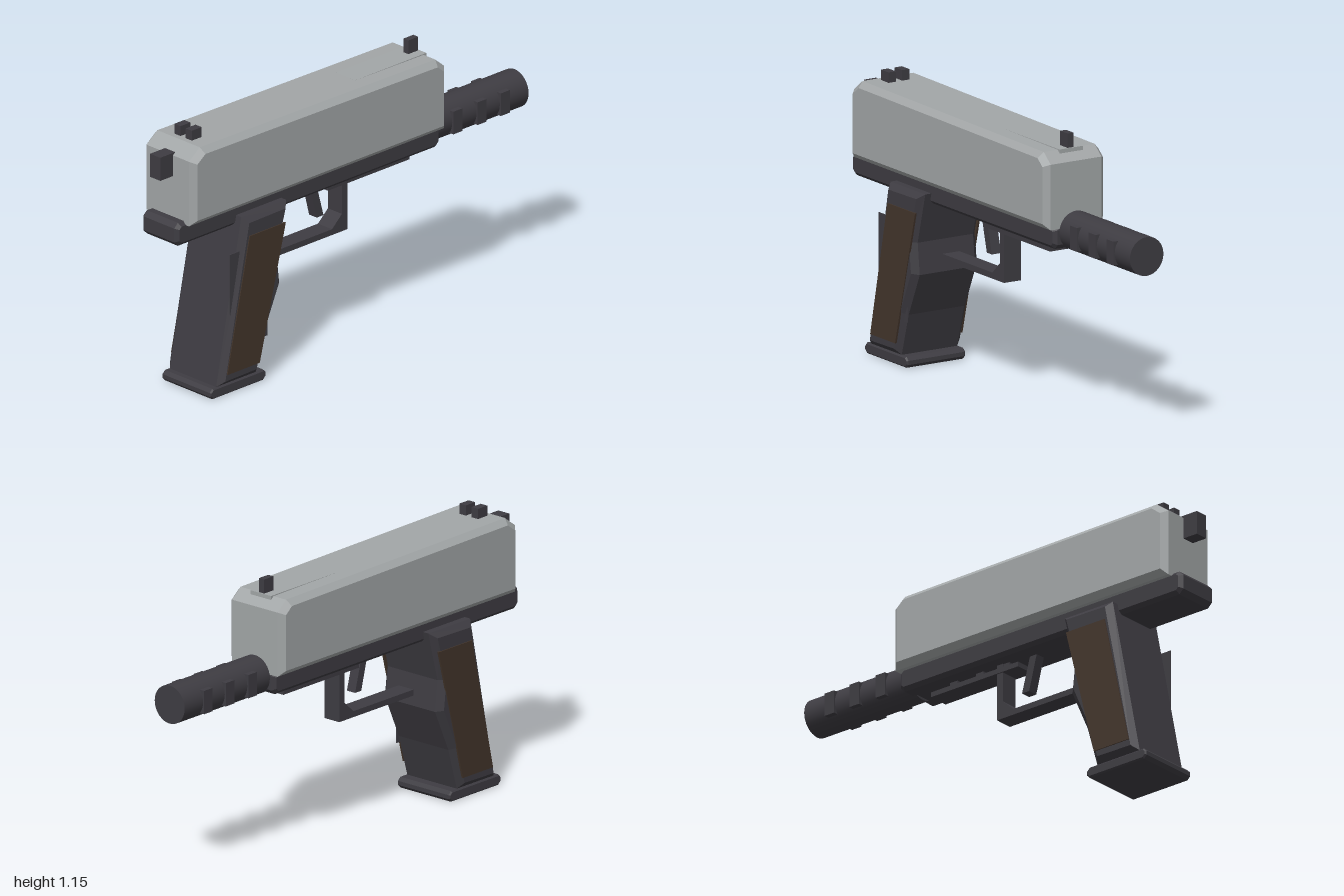
import * as THREE from 'three';

const mat = (name, color) => {
  const m = new THREE.MeshStandardMaterial({ color });
  m.name = name;
  return m;
};

export function createModel() {
  const grey = mat('slideGrey', 0xa2a6a7);
  const dark = mat('darkMetal', 0x3e3c42);
  const brown = mat('gripBrown', 0x43352b);
  const group = new THREE.Group();

  const add = (name, geo, material) => {
    const mesh = new THREE.Mesh(geo, material);
    mesh.name = name;
    group.add(mesh);
    return mesh;
  };

  // Box given by its limits on each axis
  const box = (name, [x0, x1], [y0, y1], [z0, z1], material = dark) => {
    const m = add(name, new THREE.BoxGeometry(x1 - x0, y1 - y0, z1 - z0), material);
    m.position.set((x0 + x1) / 2, (y0 + y1) / 2, (z0 + z1) / 2);
    return m;
  };

  // Side profile of [z, y] points, extruded across x with chamfered edges
  const side = (name, points, halfWidth, bevel, material = dark, x = 0) => {
    const shape = new THREE.Shape(points.map(([z, y]) => new THREE.Vector2(z, y)));
    const geo = new THREE.ExtrudeGeometry(shape, {
      depth: 2 * (halfWidth - bevel),
      bevelEnabled: bevel > 0,
      bevelSize: bevel, bevelThickness: bevel, bevelOffset: -bevel, bevelSegments: 1,
    });
    geo.translate(0, 0, -(halfWidth - bevel));
    geo.rotateY(-Math.PI / 2);
    const m = add(name, geo, material);
    m.position.x = x;
    return m;
  };

  // Rectangle profile with cut corners
  const cutRect = (z0, z1, y0, y1, c) => [
    [z0 + c, y0], [z1 - c, y0], [z1, y0 + c], [z1, y1 - c],
    [z1 - c, y1], [z0 + c, y1], [z0, y1 - c], [z0, y0 + c],
  ];

  // Slide and the low plate on its top
  side('slide', [
    [-0.49, 0.78], [0.93, 0.78], [0.93, 1.06], [0.87, 1.105], [-0.44, 1.092], [-0.49, 1.05],
  ], 0.145, 0.024, grey);
  box('slideTopPlate', [-0.055, 0.055], [1.06, 1.096], [-0.455, -0.06], grey);

  // Frame under the slide
  side('frame', cutRect(-0.49, 0.98, 0.695, 0.795, 0.02), 0.103, 0.015);

  // Sights and rear block
  for (const s of [-1, 1]) {
    box('rearSight', [s * 0.0325 - 0.0175, s * 0.0325 + 0.0175], [1.09, 1.147], [0.79, 0.845]);
  }
  box('frontSight', [-0.014, 0.014], [1.08, 1.155], [-0.45, -0.395]);
  box('rearBlock', [-0.029, 0.029], [0.97, 1.07], [0.9, 1.0]);

  // Barrel with raised ribs
  const barrel = add('barrel', new THREE.CylinderGeometry(0.08, 0.08, 0.55, 32), dark);
  barrel.rotation.x = Math.PI / 2;
  barrel.position.set(0, 0.765, -0.725);
  for (const z of [-0.6, -0.735, -0.865]) {
    box('barrelRib', [-0.086, 0.086], [0.716, 0.814], [z - 0.025, z + 0.025]);
  }

  // Grip with a brown panel on each side
  side('grip', [
    [0.40, 0.74], [0.455, 0.53], [0.44, 0.40], [0.52, 0.22], [0.57, 0.045], [0.79, 0.045], [0.65, 0.74],
  ].reverse(), 0.157, 0.025);
  for (const s of [-1, 1]) {
    side('gripPanel', [[0.755, 0.095], [0.63, 0.66], [0.43, 0.66], [0.575, 0.095]].reverse(),
      0.004, 0, brown, s * 0.157);
  }
  box('gripInnerPlate', [0.138, 0.142], [0.19, 0.6], [0.515, 0.722]);
  side('gripBase', cutRect(0.518, 0.828, 0, 0.045, 0.014), 0.14, 0.006);

  // Trigger and its guard
  side('trigger', [[0.165, 0.71], [0.13, 0.71], [0.085, 0.545], [0.122, 0.545]], 0.022, 0);
  side('triggerGuard', [
    [0.415, 0.455], [-0.03, 0.455], [-0.03, 0.71], [0, 0.71],
    [0, 0.53], [0.055, 0.48], [0.415, 0.48],
  ], 0.04, 0);

  // Rail under the frame
  box('rail', [-0.045, 0.045], [0.657, 0.678], [-0.37, 0.083]);
  for (const z of [0.01, -0.125, -0.26]) {
    box('railMount', [-0.035, 0.035], [0.67, 0.7], [z - 0.02, z + 0.02]);
  }
  return group;
}
